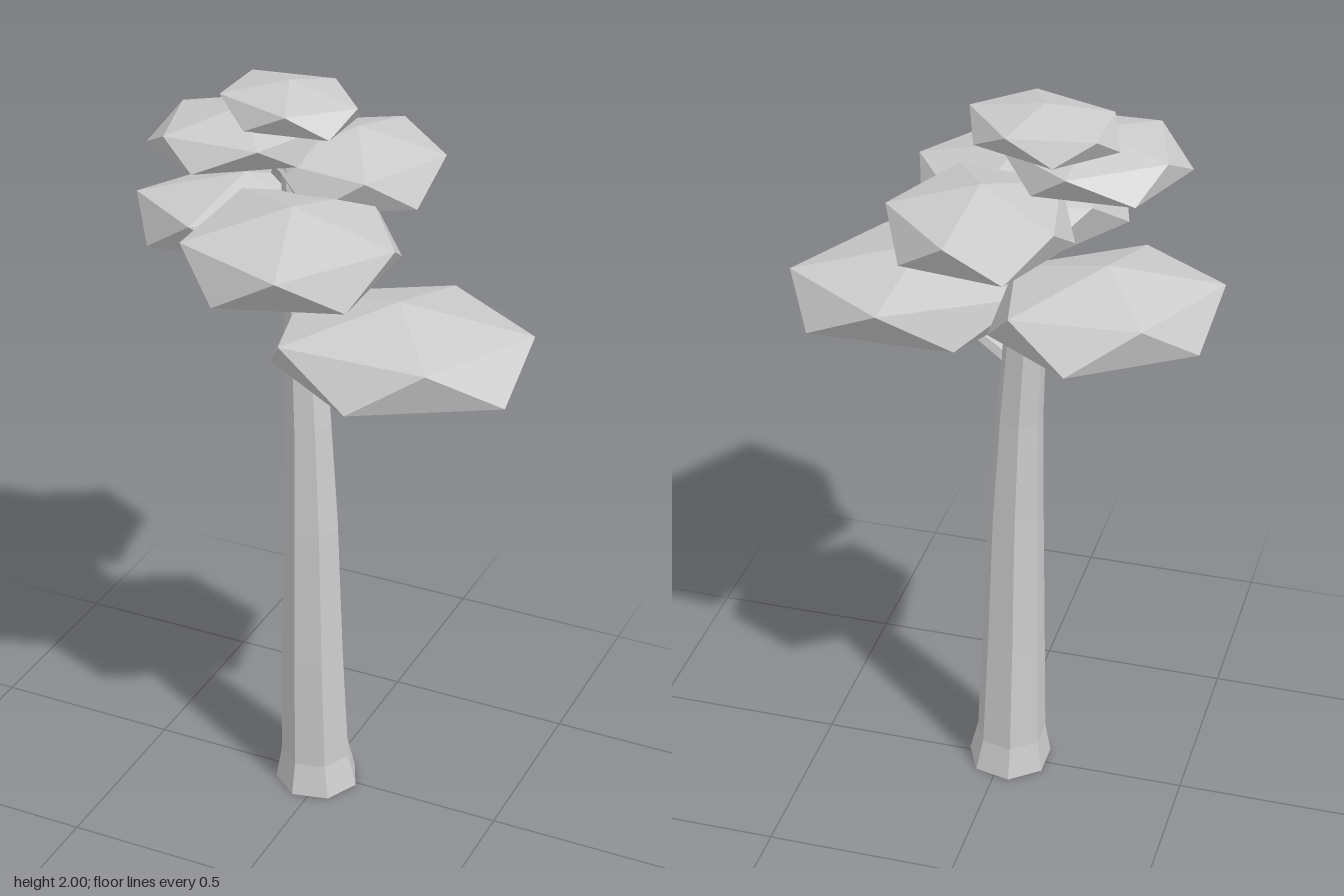
import * as THREE from 'three';
import { ConvexGeometry } from 'three/addons/geometries/ConvexGeometry.js';

const material = new THREE.MeshStandardMaterial({ color: 0xcccccc, flatShading: true });

function addMesh(group, name, geometry) {
  const mesh = new THREE.Mesh(geometry, material);
  mesh.name = name;
  group.add(mesh);
}

// Squashed twenty-sided clump. p and q are the [x, z] half axes of its rings,
// the first upper corner lying at p; shift slides the lower ring sideways.
function foliageGeometry({ center: [cx, cy, cz], height, p, q, shift = [0, 0] }) {
  const points = [
    new THREE.Vector3(cx, cy + height, cz),
    new THREE.Vector3(cx, cy - height, cz),
  ];
  for (let i = 0; i < 10; i++) {
    const a = (i * Math.PI) / 5;
    const lower = i % 2;
    points.push(new THREE.Vector3(
      cx + p[0] * Math.cos(a) + q[0] * Math.sin(a) + lower * shift[0],
      cy + height * (lower ? -0.447 : 0.447),
      cz + p[1] * Math.cos(a) + q[1] * Math.sin(a) + lower * shift[1],
    ));
  }
  return new ConvexGeometry(points);
}

// Faceted trunk through rings of [y, x, z, radius], closed at both ends
function trunkGeometry(rings, sides) {
  const positions = [];
  const index = [];
  for (const [y, x, z, r] of rings) {
    for (let i = 0; i < sides; i++) {
      const a = (i / sides) * Math.PI * 2;
      positions.push(x + r * Math.cos(a), y, z + r * Math.sin(a));
    }
  }
  for (let j = 0; j < rings.length - 1; j++) {
    for (let i = 0; i < sides; i++) {
      const a = j * sides + i;
      const b = j * sides + ((i + 1) % sides);
      index.push(a, a + sides, b, b, a + sides, b + sides);
    }
  }
  const last = (rings.length - 1) * sides;
  for (let i = 1; i < sides - 1; i++) {
    index.push(0, i, i + 1, last, last + i + 1, last + i);
  }
  const geometry = new THREE.BufferGeometry();
  geometry.setAttribute('position', new THREE.Float32BufferAttribute(positions, 3));
  geometry.setIndex(index);
  const flat = geometry.toNonIndexed();
  flat.computeVertexNormals();
  return flat;
}

// Thin tapered limb between two points
function branchGeometry(from, to) {
  const direction = to.clone().sub(from);
  const geometry = new THREE.CylinderGeometry(0.012, 0.022, direction.length(), 5);
  geometry.applyQuaternion(new THREE.Quaternion().setFromUnitVectors(
    new THREE.Vector3(0, 1, 0), direction.normalize()));
  const middle = from.clone().add(to).multiplyScalar(0.5);
  return geometry.translate(middle.x, middle.y, middle.z);
}

export function createModel() {
  const tree = new THREE.Group();
  tree.name = 'tree';

  // Trunk: flared foot, gentle lean towards -x
  addMesh(tree, 'trunk', trunkGeometry([
    [0, -0.017, 0.01, 0.114],
    [0.09, -0.021, 0.01, 0.095],
    [0.4, -0.026, 0.014, 0.085],
    [0.8, -0.032, 0.012, 0.074],
    [1.1, -0.043, 0.006, 0.062],
    [1.35, -0.06, -0.006, 0.054],
    [1.57, -0.08, -0.018, 0.041],
    [1.75, -0.1, -0.028, 0.031],
    [1.92, -0.115, -0.035, 0.022],
  ], 7));

  // Foliage pads, lowest first, each with the trunk point its branch leaves from
  const pads = [
    { center: [0.23, 1.4, 0.07], height: 0.123, p: [0.32, -0.09], q: [0.067, 0.26], shift: [0.02, 0.015], root: [-0.05, 1.25, 0] },
    { center: [-0.31, 1.555, -0.18], height: 0.115, p: [-0.265, 0.095], q: [-0.045, -0.225], shift: [0, -0.02], root: [-0.07, 1.45, -0.01] },
    { center: [0, 1.662, 0.19], height: 0.118, p: [0.27, 0.005], q: [0.008, 0.3], shift: [-0.01, -0.02], root: [-0.08, 1.55, -0.01] },
    { center: [0, 1.743, -0.19], height: 0.102, p: [0.22, -0.045], q: [0.047, 0.235], root: [-0.085, 1.62, -0.02] },
    { center: [-0.22, 1.855, 0], height: 0.077, p: [-0.2, -0.06], q: [-0.075, 0.2], shift: [-0.03, 0], root: [-0.1, 1.75, -0.03] },
    { center: [-0.115, 1.935, -0.04], height: 0.065, p: [0.19, 0.02], q: [0, 0.152] },
  ];
  pads.forEach((pad, i) => {
    addMesh(tree, `foliage${i + 1}`, foliageGeometry(pad));
    if (pad.root) {
      addMesh(tree, `branch${i + 1}`, branchGeometry(
        new THREE.Vector3(...pad.root), new THREE.Vector3(...pad.center)));
    }
  });

  return tree;
}
